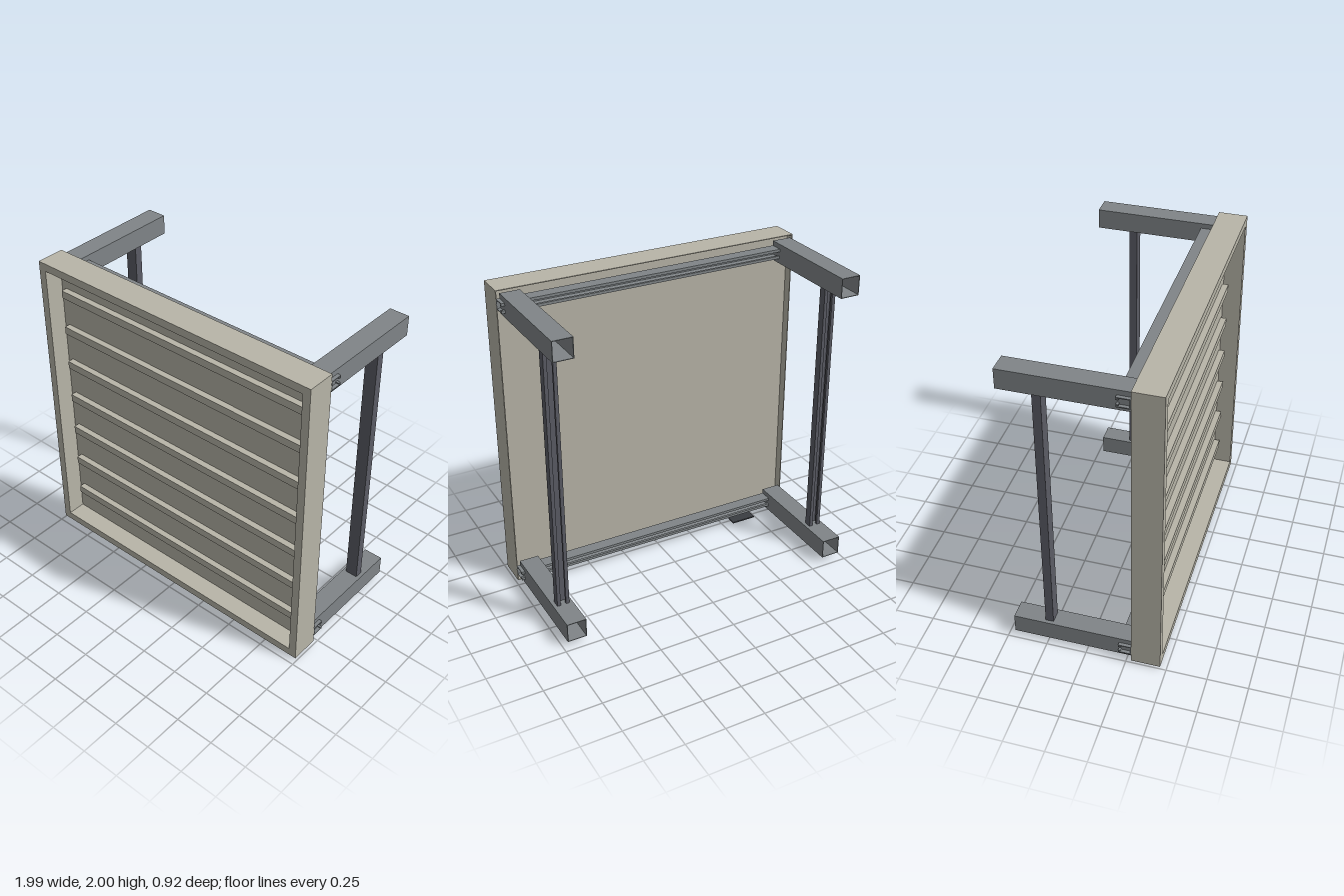
import * as THREE from 'three';

const paint = (name, color) => {
  const m = new THREE.MeshStandardMaterial({ color });
  m.name = name;
  return m;
};

// Rectangle outline centred on the origin
function rect(path, w, h) {
  path.moveTo(-w / 2, -h / 2);
  path.lineTo(w / 2, -h / 2);
  path.lineTo(w / 2, h / 2);
  path.lineTo(-w / 2, h / 2);
  path.closePath();
  return path;
}

// Rectangular ring or hollow tube along z, centred
function ring(w, h, wall, depth) {
  const shape = rect(new THREE.Shape(), w, h);
  shape.holes.push(rect(new THREE.Path(), w - 2 * wall, h - 2 * wall));
  const g = new THREE.ExtrudeGeometry(shape, { depth, bevelEnabled: false });
  return g.translate(0, 0, -depth / 2);
}

// Upright lipped channel, its slot facing -z
function channel(w, d, length) {
  const t = 0.006, lip = w * 0.28, fold = 0.016, a = w / 2, b = d / 2;
  const half = [
    [a, -b], [a, b], [a - lip, b], [a - lip, b - fold],
    [a - lip + t, b - fold], [a - lip + t, b - t], [a - t, b - t], [a - t, -b + t],
  ];
  const outline = [...half, ...half.map(([x, y]) => [-x, y]).reverse()];
  const shape = new THREE.Shape(outline.map(([x, y]) => new THREE.Vector2(x, y)));
  const g = new THREE.ExtrudeGeometry(shape, { depth: length, bevelEnabled: false });
  return g.translate(0, 0, -length / 2).rotateX(-Math.PI / 2);
}

export function createModel() {
  const model = new THREE.Group();
  model.name = 'wallPanelUnit';
  const beige = paint('beige sheet', 0xb8b5a8);
  const steel = paint('grey steel', 0x808588);
  const darkSteel = paint('dark steel', 0x5b5c65);
  const black = paint('dark plate', 0x3a3d42);

  const add = (name, geometry, material, x, y, z) => {
    const mesh = new THREE.Mesh(geometry, material);
    mesh.name = name;
    mesh.position.set(x, y, z);
    model.add(mesh);
  };

  // Pan: deep front rim, recessed sheet and a thin skirt behind it
  const cx = -0.003, cy = 1.007, w = 1.987, h = 1.986;
  add('frontRim', ring(w, h, 0.05, 0.12), beige, cx, cy, 0.402);
  add('backSkirt', ring(w, h, 0.005, 0.06), beige, cx, cy, 0.312);
  add('panelSheet', new THREE.BoxGeometry(w - 0.008, h - 0.008, 0.006), beige, cx, cy, 0.341);

  // Raised ribs across the sheet
  for (let i = 0; i < 7; i++) {
    add('rib', new THREE.BoxGeometry(1.815, 0.05, 0.04), beige, cx, 0.246 + i * 0.2543, 0.363);
  }

  // Cross rails and hollow arms, top and bottom
  for (const y of [0.095, 1.92]) {
    add('crossRail', channel(0.062, 0.08, w).rotateZ(Math.PI / 2), steel, cx, y, 0.241);
    for (const side of [-1, 1]) {
      add('arm', ring(0.124, 0.124, 0.004, 0.741), steel, cx + side * 0.91, y, -0.09);
    }
  }

  // Upright struts between the arms
  for (const side of [-1, 1]) {
    add('strut', channel(0.078, 0.05, 1.701), darkSteel, cx + side * 0.91, 1.0075, -0.242);
  }

  // Small plate under the lower rail
  add('footPlate', new THREE.BoxGeometry(0.167, 0.009, 0.066), black, -0.656, 0.0045, 0.241);
  return model;
}
